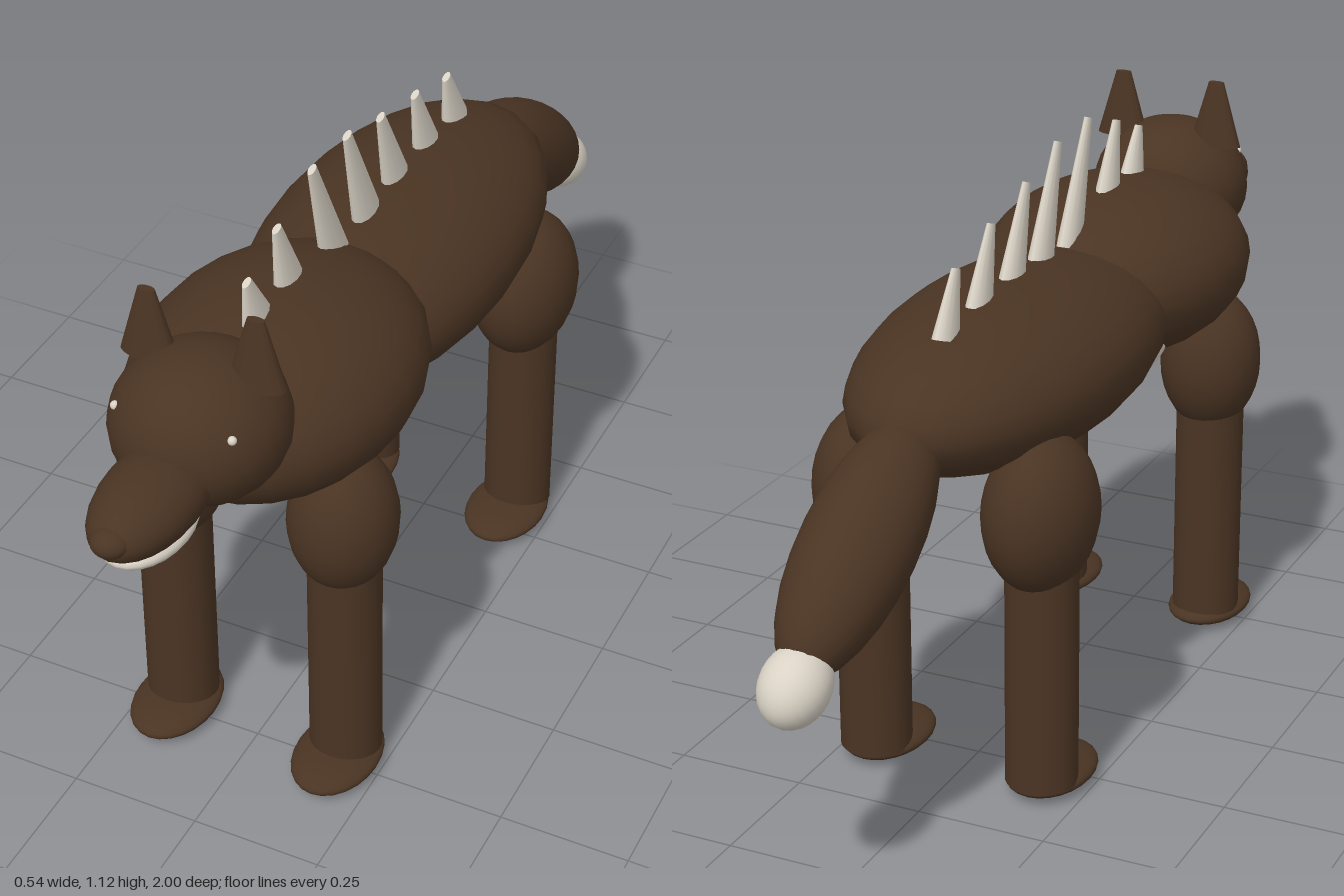
import * as THREE from 'three';

export function createModel() {
  const model = new THREE.Group();
  model.name = 'spinedWolf';

  const fur = new THREE.MeshStandardMaterial({ color: 0x4a3423 });
  fur.name = 'brown fur';
  const pale = new THREE.MeshStandardMaterial({ color: 0xd9d2c5 });
  pale.name = 'pale bone';

  const ball = new THREE.SphereGeometry(1, 24, 16);

  // Ellipsoid with a centre, three radii and an optional pitch about x
  function ellipsoid(name, material, center, radii, pitch = 0) {
    const mesh = new THREE.Mesh(ball, material);
    mesh.name = name;
    mesh.position.set(...center);
    mesh.scale.set(...radii);
    mesh.rotation.x = pitch;
    model.add(mesh);
    return mesh;
  }

  // Trunk
  ellipsoid('body', fur, [0, 0.757, -0.1], [0.24, 0.157, 0.48]);
  ellipsoid('chest', fur, [0, 0.79, 0.38], [0.255, 0.17, 0.33]);
  ellipsoid('belly', pale, [0, 0.695, 0.15], [0.175, 0.1, 0.32]);

  // Head
  ellipsoid('head', fur, [0, 0.873, 0.66], [0.157, 0.138, 0.16]);
  ellipsoid('snout', fur, [0, 0.834, 0.83], [0.086, 0.068, 0.16]);
  ellipsoid('nose', fur, [0, 0.842, 0.965], [0.035, 0.026, 0.035]);
  ellipsoid('lowerJaw', pale, [0, 0.782, 0.845], [0.073, 0.032, 0.112]);

  // Tail, sloping down to a pale tip
  ellipsoid('tail', fur, [0, 0.62, -0.7], [0.102, 0.102, 0.27], -0.57);
  ellipsoid('tailTip', pale, [0, 0.461, -0.927], [0.062, 0.062, 0.078], -0.57);

  // Paired parts
  const earGeometry = new THREE.CylinderGeometry(0.016, 0.054, 0.13, 16);
  const legGeometry = new THREE.CylinderGeometry(0.068, 0.068, 0.5, 24);
  const legs = [
    { name: 'front', z: 0.472, thighY: 0.58, thigh: [0.1, 0.145, 0.106], footZ: 0.503 },
    { name: 'back', z: -0.337, thighY: 0.568, thigh: [0.102, 0.15, 0.133], footZ: -0.288 },
  ];
  for (const [side, s] of [['Left', 1], ['Right', -1]]) {
    ellipsoid('eye' + side, pale, [s * 0.109, 0.93, 0.752], [0.008, 0.008, 0.008]);

    const ear = new THREE.Mesh(earGeometry, fur);
    ear.name = 'ear' + side;
    ear.position.set(s * 0.101, 1.035, 0.645);
    ear.scale.z = 0.5;
    model.add(ear);

    for (const l of legs) {
      ellipsoid(l.name + 'Thigh' + side, fur, [s * 0.17, l.thighY, l.z], l.thigh);
      const leg = new THREE.Mesh(legGeometry, fur);
      leg.name = l.name + 'Leg' + side;
      leg.position.set(s * 0.172, 0.28, l.z);
      model.add(leg);
      ellipsoid(l.name + 'Foot' + side, fur, [s * 0.17, 0.028, l.footZ], [0.08, 0.026, 0.115]);
    }
  }

  // Back spines: [base z, base y, tip z, tip y], leaning forward
  const spines = [
    [0.455, 0.94, 0.487, 1.04],
    [0.335, 0.94, 0.375, 1.08],
    [0.155, 0.885, 0.24, 1.12],
    [0.025, 0.895, 0.102, 1.11],
    [-0.1, 0.895, -0.035, 1.07],
    [-0.235, 0.89, -0.183, 1.035],
    [-0.367, 0.875, -0.325, 0.995],
  ];
  spines.forEach(([z0, y0, z1, y1], i) => {
    const length = Math.hypot(z1 - z0, y1 - y0);
    const spine = new THREE.Mesh(new THREE.CylinderGeometry(0.013, 0.042, length, 12), pale);
    spine.name = 'spine' + (i + 1);
    spine.position.set(0, (y0 + y1) / 2, (z0 + z1) / 2);
    spine.rotation.x = Math.atan2(z1 - z0, y1 - y0);
    spine.scale.x = 0.5;
    model.add(spine);
  });

  return model;
}
